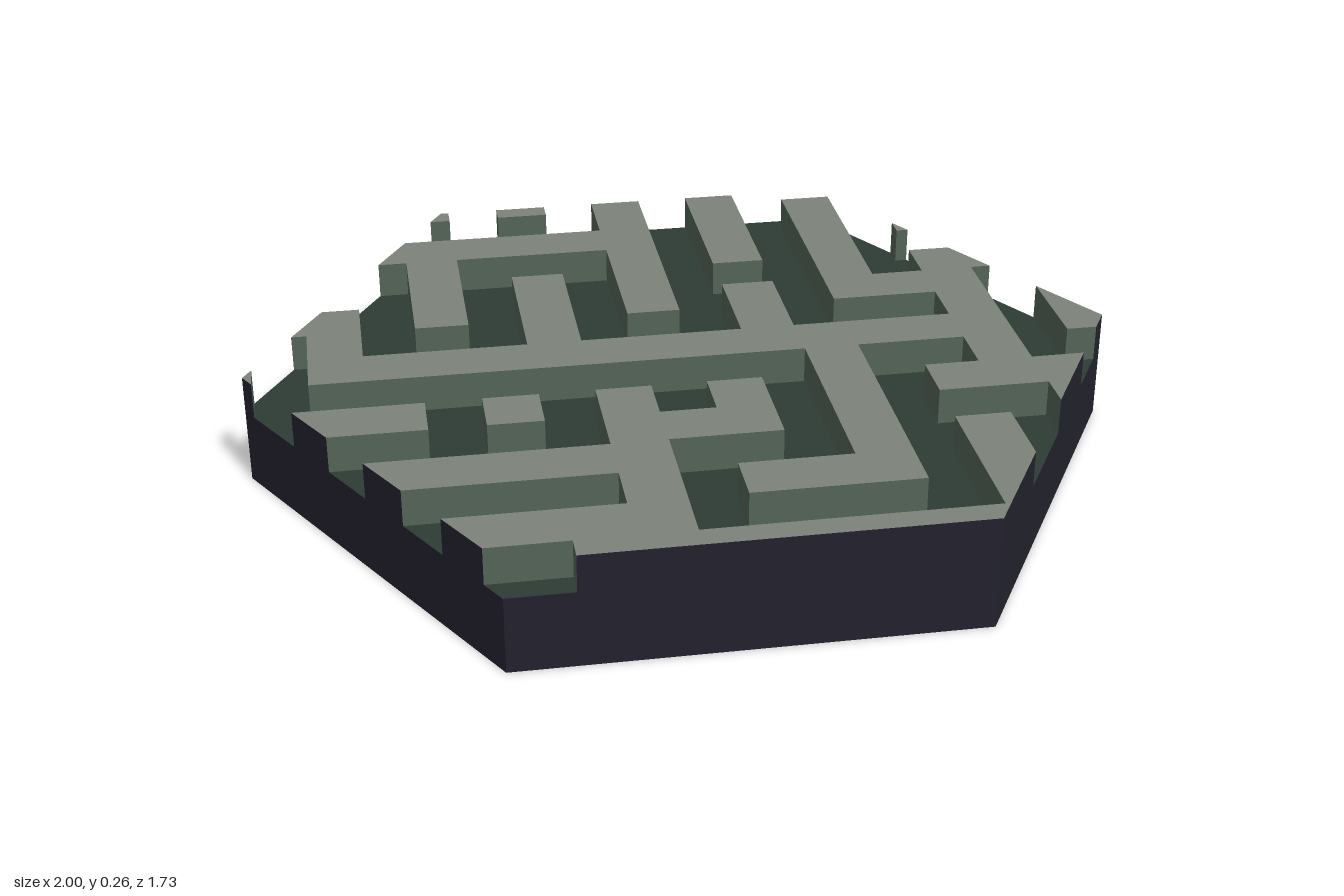
import * as THREE from 'three';

const S = Math.sqrt(3) / 2;      // apothem of the unit hexagon
const CELL = 0.125, FLOOR = 0.173, TOP = 0.257;

// Maze plan, back row first, '#' is a raised wall
const PLAN = [
  '....#.#.#.#......',
  '........#.#.#....',
  '...######.#.#.#..',
  '....#...#.#.#....',
  '....#.#.#...#.##.',
  '.##.#.#.#.#.###..',
  '..#...#...#...#.#',
  '#.#############.#',
  '...........#..#..',
  '.###.#.#.#.#.###.',
  '.......###.#...#.',
  '..######...#.#...',
  '.......#.###.#...',
  '...#####.....#...',
  '......########...',
];
const colX = (c) => 0.02 + CELL * (c - 9);
const rowZ = (r) => 0.06 + CELL * (r - 8);
const isWall = (x, z) => {
  const c = Math.floor((x - colX(0)) / CELL), r = Math.floor((z - rowZ(0)) / CELL);
  return PLAN[r]?.[c] === '#';
};

// The six hexagon sides as outward normals, each at distance S
const SIDES = [0, 1, 2, 3, 4, 5].map((i) => {
  const a = Math.PI / 6 + (i * Math.PI) / 3;
  return [Math.cos(a), Math.sin(a)];
});
const outside = ([nx, nz], [x, z]) => nx * x + nz * z - S;

// Cut a convex polygon to the hexagon
function clipToHexagon(poly) {
  for (const side of SIDES) {
    const out = [];
    poly.forEach((a, i) => {
      const b = poly[(i + 1) % poly.length];
      const da = outside(side, a), db = outside(side, b);
      if (da <= 0) out.push(a);
      if (da * db < 0) {
        const t = da / (da - db);
        out.push([a[0] + (b[0] - a[0]) * t, a[1] + (b[1] - a[1]) * t]);
      }
    });
    poly = out;
  }
  return poly;
}

function facesMesh(name, points, material) {
  const geometry = new THREE.BufferGeometry();
  geometry.setAttribute('position', new THREE.Float32BufferAttribute(points, 3));
  geometry.computeVertexNormals();
  const mesh = new THREE.Mesh(geometry, material);
  mesh.name = name;
  return mesh;
}

function makeMaterial(name, color) {
  const material = new THREE.MeshStandardMaterial({ color });
  material.name = name;
  return material;
}

export function createModel() {
  const group = new THREE.Group();
  group.name = 'mazeTile';
  const rimMat = makeMaterial('dark navy', 0x23222e);
  const floorMat = makeMaterial('deep green', 0x2d3c34);
  const sideMat = makeMaterial('moss green', 0x546557);
  const topMat = makeMaterial('stone grey', 0x7c837a);

  // Hexagonal slab with the maze floor as its upper face
  const slab = new THREE.CylinderGeometry(1, 1, FLOOR, 6, 1, false, Math.PI / 6).toNonIndexed();
  slab.computeVertexNormals();
  const base = new THREE.Mesh(slab, [rimMat, floorMat, rimMat]);
  base.name = 'base';
  base.position.y = FLOOR / 2;
  group.add(base);

  // Wall cells: tops, exposed inner sides, and faces cut by the rim
  const tops = [], sides = [], rim = [];
  PLAN.forEach((row, r) => [...row].forEach((mark, c) => {
    if (mark !== '#') return;
    const x = colX(c), z = rowZ(r);
    const poly = clipToHexagon([[x, z], [x, z + CELL], [x + CELL, z + CELL], [x + CELL, z]]);
    if (poly.length < 3) return;
    for (let i = 1; i < poly.length - 1; i++) {
      for (const [px, pz] of [poly[0], poly[i], poly[i + 1]]) tops.push(px, TOP, pz);
    }
    poly.forEach((a, i) => {
      const b = poly[(i + 1) % poly.length];
      const dx = b[0] - a[0], dz = b[1] - a[1], len = Math.hypot(dx, dz);
      if (len < 1e-6) return;
      const mid = [(a[0] + b[0]) / 2, (a[1] + b[1]) / 2];
      const onRim = SIDES.some((s) => outside(s, a) > -1e-6 && outside(s, b) > -1e-6);
      if (!onRim && isWall(mid[0] - (dz / len) * 0.01, mid[1] + (dx / len) * 0.01)) return;
      (onRim ? rim : sides).push(
        a[0], FLOOR, a[1], b[0], FLOOR, b[1], b[0], TOP, b[1],
        a[0], FLOOR, a[1], b[0], TOP, b[1], a[0], TOP, a[1],
      );
    });
  }));
  group.add(
    facesMesh('wallTops', tops, topMat),
    facesMesh('wallSides', sides, sideMat),
    facesMesh('wallRim', rim, rimMat),
  );
  return group;
}
